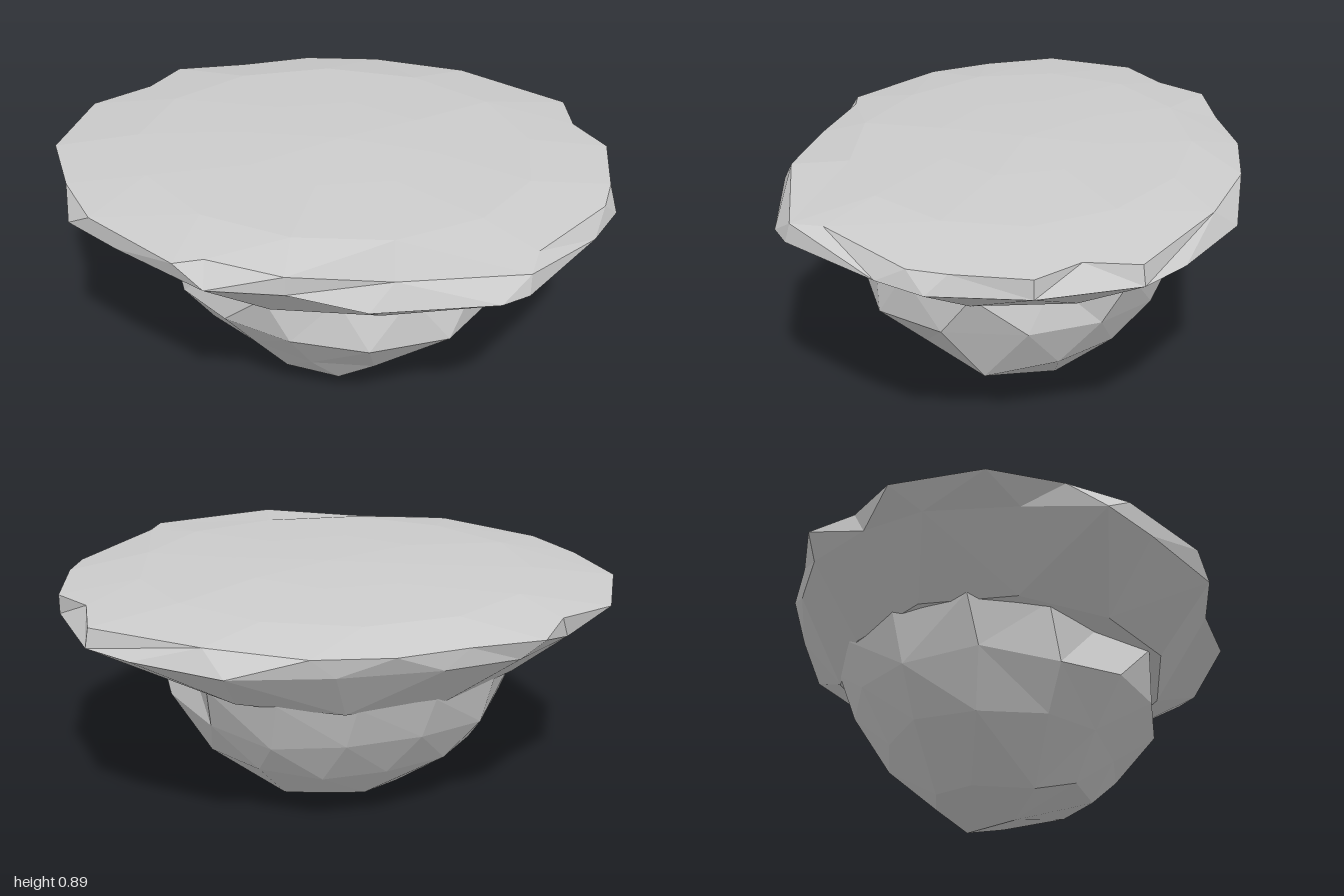
import * as THREE from 'three';

const TAU = Math.PI * 2;

// Small seeded noise in -1..1
let seed = 7;
const noise = () => {
  seed = (seed * 16807) % 2147483647;
  return (seed / 2147483647) * 2 - 1;
};

// Ring from a list of radii, evenly spaced from +x towards +z, stretched along x
const ring = (y, radii, stretch = 1, twist = 0, wobble = 0) =>
  radii.map((r, i) => {
    const a = ((i + twist) / radii.length) * TAU;
    return [Math.cos(a) * r * stretch, y + noise() * wobble, Math.sin(a) * r];
  });

// Unwrapped, increasing angles of a ring, with the first one repeated a turn later
function angles(points) {
  const out = [];
  for (const [x, , z] of points) {
    let a = Math.atan2(z, x);
    while (out.length && a < out[out.length - 1]) a += TAU;
    out.push(a);
  }
  return [...out, out[0] + TAU];
}

// Skin of triangles between consecutive rings, which may differ in point count
function skin(rings) {
  const pos = [];
  for (let k = 0; k + 1 < rings.length; k++) {
    const A = rings[k], B = rings[k + 1];
    const aa = angles(A), ab = angles(B);
    const n = A.length > 1 ? A.length : 0, m = B.length > 1 ? B.length : 0;
    let i = 0, j = 0;
    while (i < n || j < m) {
      const a = A[i % A.length], b = B[j % B.length];
      if (j >= m || (i < n && aa[i + 1] <= ab[j + 1])) {
        pos.push(...a, ...b, ...A[++i % A.length]);
      } else {
        pos.push(...a, ...b, ...B[++j % B.length]);
      }
    }
  }
  const geo = new THREE.BufferGeometry();
  geo.setAttribute('position', new THREE.Float32BufferAttribute(pos, 3));
  geo.computeVertexNormals();
  return geo;
}

export function createModel() {
  const group = new THREE.Group();
  group.name = 'floatingIsland';
  const material = new THREE.MeshStandardMaterial({
    color: 0xcccccc, flatShading: true, side: THREE.DoubleSide,
  });
  const add = (name, rings) => {
    const mesh = new THREE.Mesh(skin(rings), material);
    mesh.name = name;
    group.add(mesh);
  };

  // Rocky underside: a faceted bowl, pinched at the front and in one cleft
  add('rockBase', [
    [[-0.01, 0, 0.04]],
    [
      [0.32, 0.09, -0.06], [0.25, 0.09, 0.18], [0.08, 0.08, 0.31], [-0.12, 0.08, 0.28], [-0.22, 0.03, 0.15],
      [-0.24, 0.05, -0.07], [-0.13, 0.07, -0.22], [0.04, 0.08, -0.26], [0.17, 0.03, -0.17],
    ],
    ring(0.22, [0.51, 0.48, 0.44, 0.4, 0.42, 0.46, 0.49, 0.47, 0.43, 0.43, 0.45, 0.48], 1.02, 0, 0.03),
    ring(0.39, [0.63, 0.62, 0.58, 0.55, 0.55, 0.57, 0.6, 0.59, 0.56, 0.55, 0.54, 0.55, 0.6], 1.01, 0.4, 0.025),
    ring(0.57, [0.66, 0.62, 0.57, 0.53, 0.57, 0.49, 0.6, 0.66, 0.64, 0.62, 0.61, 0.61, 0.62, 0.54], 1.01, 0),
  ]);

  // Rim corners as [x, z]: the wide lower edge and the bevelled upper edge
  const lower = [
    [1, 0.05], [0.94, 0.23], [0.76, 0.6], [0.68, 0.67], [0.28, 0.8], [0, 0.76], [-0.26, 0.79],
    [-0.61, 0.62], [-0.82, 0.5], [-0.87, 0.22], [-0.9, -0.1], [-0.82, -0.32], [-0.66, -0.54],
    [-0.42, -0.66], [-0.08, -0.76], [0.27, -0.81], [0.6, -0.69], [0.77, -0.59], [0.94, -0.28],
  ].map(([x, z]) => [x, 0.75, z]);
  const upper = [
    [0.97, 0.82, -0.02], [0.96, 0.815, 0.12], [0.77, 0.83, 0.46], [0.76, 0.82, 0.58], [0.35, 0.84, 0.74],
    [0, 0.82, 0.76], [-0.27, 0.83, 0.73], [-0.37, 0.82, 0.76], [-0.72, 0.82, 0.56], [-0.87, 0.82, 0.37],
    [-1, 0.82, 0.13], [-0.97, 0.82, -0.2], [-0.8, 0.83, -0.36], [-0.74, 0.82, -0.54], [-0.5, 0.82, -0.63],
    [-0.27, 0.82, -0.74], [0, 0.82, -0.785], [0.35, 0.83, -0.74], [0.76, 0.82, -0.58],
    [0.81, 0.83, -0.4], [0.94, 0.82, -0.28],
  ];

  // Flaring ledge from the rock out to the rim
  add('ledge', [
    ring(0.57, Array(11).fill(0.45)),
    ring(0.555, [0.62, 0.62, 0.6, 0.6, 0.59, 0.61, 0.61, 0.59, 0.61, 0.61, 0.62], 1.1, 0, 0.008),
    lower,
    upper,
  ]);

  // Gently domed ground on top
  add('ground', [
    upper,
    ring(0.861, Array(13).fill(0.6), 1.18, 0.3, 0.004),
    ring(0.881, Array(8).fill(0.3), 1.2, 0, 0.003),
    [[0.02, 0.89, -0.02]],
  ]);

  return group;
}
